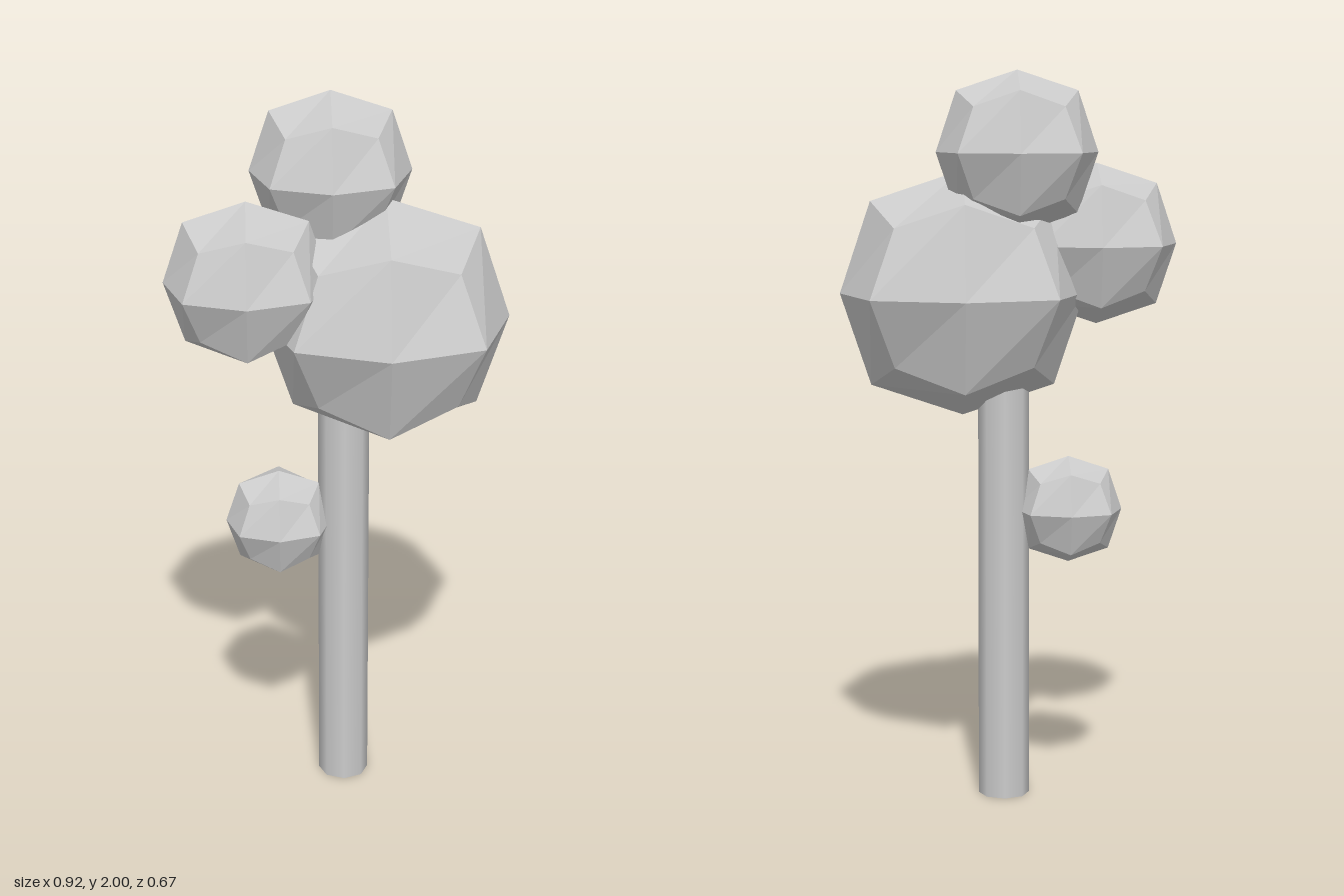
import * as THREE from 'three';

const foliageMaterial = new THREE.MeshStandardMaterial({ color: 0xcccccc, flatShading: true });
const trunkMaterial = new THREE.MeshStandardMaterial({ color: 0xcccccc, side: THREE.DoubleSide });

// A cube split 2 x 2 per face and rounded once: face centres stay put,
// edge midpoints and corners are pulled inwards.
function roundedCubeGeometry(radius) {
  const geometry = new THREE.BoxGeometry(2, 2, 2, 2, 2, 2);
  const pos = geometry.attributes.position;
  const pull = { 1: 1, 2: 0.75, 3: 5 / 9 };
  const v = new THREE.Vector3();
  for (let i = 0; i < pos.count; i++) {
    v.fromBufferAttribute(pos, i).round();
    const nonZero = Math.abs(v.x) + Math.abs(v.y) + Math.abs(v.z);
    v.multiplyScalar(radius * pull[nonZero]);
    pos.setXYZ(i, v.x, v.y, v.z);
  }
  geometry.computeVertexNormals();
  return geometry;
}

export function createModel() {
  const tree = new THREE.Group();
  tree.name = 'tree';

  // Trunk: open octagonal tube running up into the main crown
  const trunkHeight = 1.3;
  const trunk = new THREE.Mesh(
    new THREE.CylinderGeometry(0.07, 0.07, trunkHeight, 8, 1, true),
    trunkMaterial
  );
  trunk.name = 'trunk';
  trunk.position.set(0.015, trunkHeight / 2, 0);
  tree.add(trunk);

  // Foliage clumps: name, radius, centre
  const clumps = [
    ['mainFoliage', 0.333, [0.127, 1.4, 0]],
    ['topFoliage', 0.217, [-0.017, 1.783, -0.092]],
    ['sideFoliage', 0.22, [-0.243, 1.53, 0.067]],
    ['lowFoliage', 0.147, [-0.163, 0.803, 0]],
  ];
  for (const [name, radius, centre] of clumps) {
    const clump = new THREE.Mesh(roundedCubeGeometry(radius), foliageMaterial);
    clump.name = name;
    clump.position.set(...centre);
    tree.add(clump);
  }
  return tree;
}
